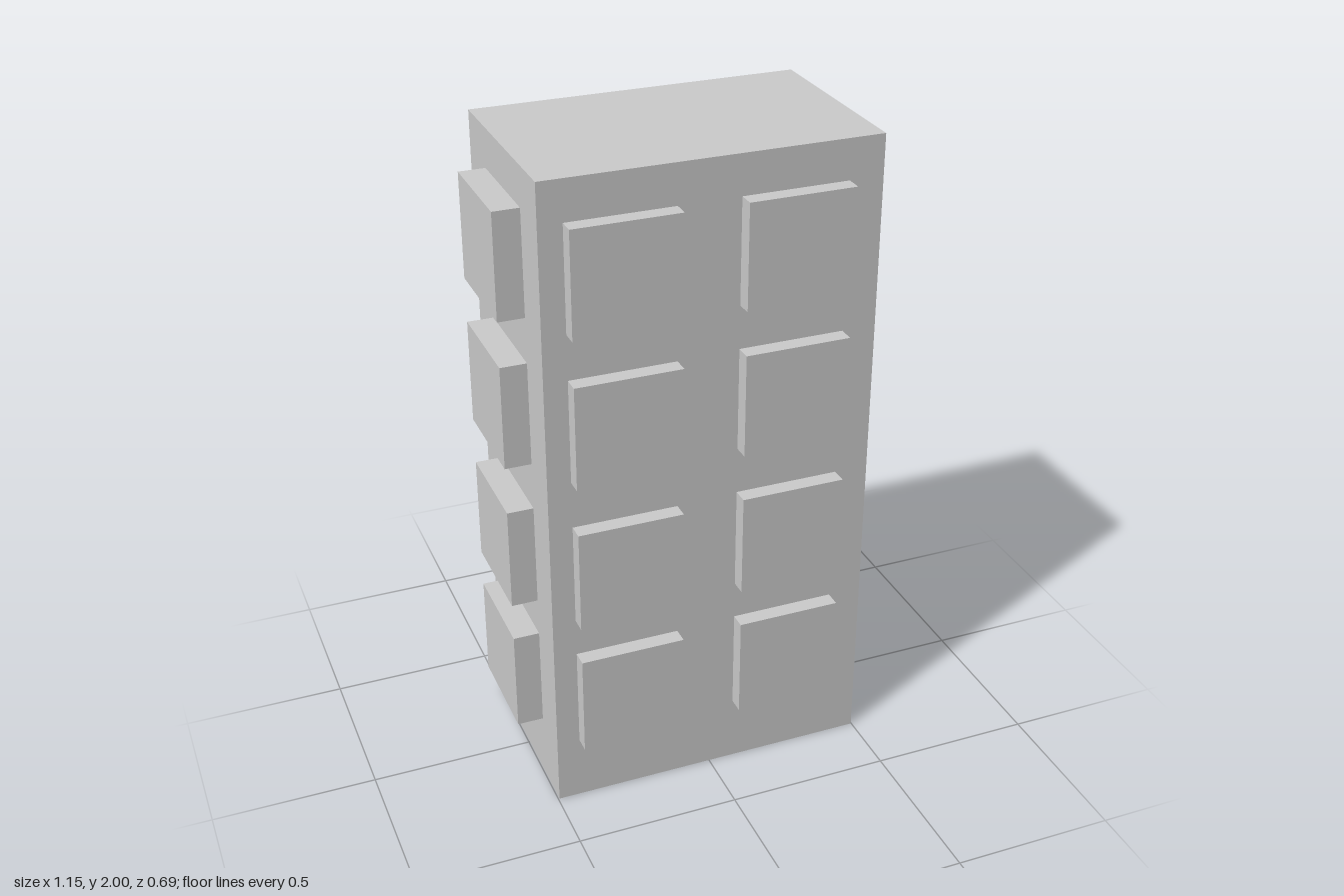
import * as THREE from 'three';

const material = new THREE.MeshStandardMaterial({ color: 0xcccccc, flatShading: true });

// Box given by its minimum and maximum corners
function addBox(parent, name, [x0, y0, z0], [x1, y1, z1]) {
  const mesh = new THREE.Mesh(new THREE.BoxGeometry(x1 - x0, y1 - y0, z1 - z0), material);
  mesh.position.set((x0 + x1) / 2, (y0 + y1) / 2, (z0 + z1) / 2);
  mesh.name = name;
  parent.add(mesh);
}

export function createModel() {
  const model = new THREE.Group();
  model.name = 'building';

  // Main block
  const body = { left: 0.498, right: -0.496, front: 0.296, back: -0.311 };
  addBox(model, 'body', [body.right, 0, body.back], [body.left, 2, body.front]);

  const size = 0.318; // window width and height
  const inset = 0.02; // how far a window sinks into the wall
  const rows = [0.206, 0.642, 1.106, 1.561]; // window sills
  const columns = [
    { side: 'Right', x: -0.426, lift: [0, 0, 0, 0] },
    { side: 'Left', x: 0.077, lift: [0.005, 0.006, 0.004, 0] },
  ];

  const windows = new THREE.Group();
  windows.name = 'windows';
  model.add(windows);

  rows.forEach((sill, i) => {
    // Two columns on the front and back walls
    for (const { side, x, lift } of columns) {
      const y = sill + lift[i];
      addBox(windows, `front${side}Window`, [x, y, body.front - inset], [x + size, y + size, 0.346]);
      addBox(windows, `back${side}Window`, [x, y, -0.347], [x + size, y + size, body.back + inset]);
    }
    // One column of deeper windows on each end wall
    const z = -0.163;
    addBox(windows, 'leftWindow', [body.left - inset, sill, z], [0.575, sill + size, z + size]);
    addBox(windows, 'rightWindow', [-0.575, sill, z], [body.right + inset, sill + size, z + size]);
  });

  return model;
}
